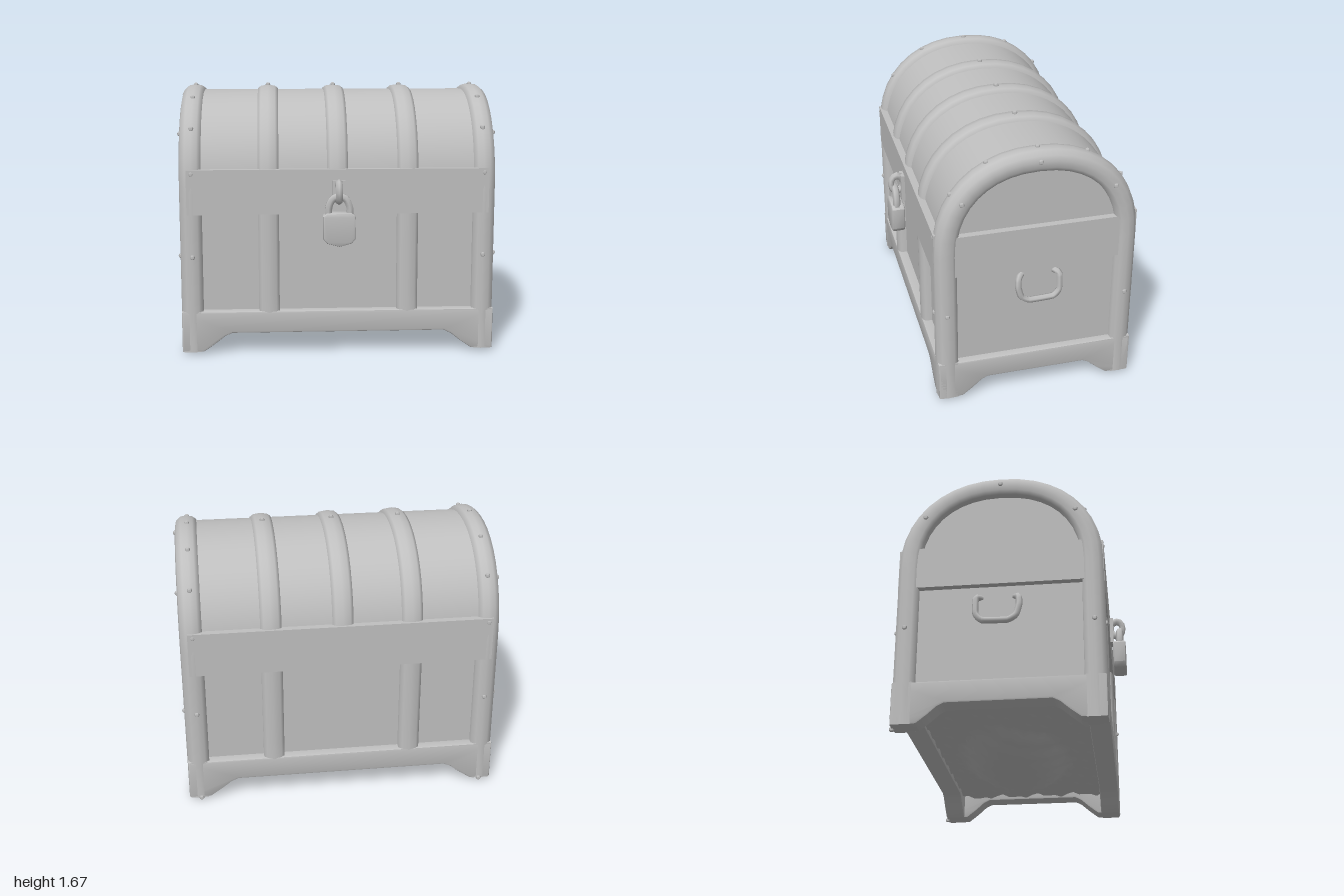
import * as THREE from 'three';
import { toCreasedNormals } from 'three/addons/utils/BufferGeometryUtils.js';

const CZ = -0.037, HALF = 0.6, SPRING = 1.02; // chest centre in z, half depth, height where the arch starts

export function createModel() {
  const chest = new THREE.Group();
  const grey = new THREE.MeshStandardMaterial({ color: 0xbfbfbf });
  grey.name = 'plain grey';

  function add(name, geometry, x = 0, y = 0, z = 0, crease = 0.7) {
    const mesh = new THREE.Mesh(toCreasedNormals(geometry, crease), grey);
    mesh.name = name;
    mesh.position.set(x, y, z);
    chest.add(mesh);
  }
  const box = (name, w, h, d, x, y, z) => add(name, new THREE.BoxGeometry(w, h, d), x, y, z);
  const polygon = (points) => new THREE.Shape(points.map(([x, y]) => new THREE.Vector2(x, y)));
  const extrude = (shape, depth, bevel = 0) => new THREE.ExtrudeGeometry(shape, {
    depth: depth - 2 * bevel, bevelEnabled: bevel > 0, bevelSize: bevel, bevelThickness: bevel,
    bevelOffset: -bevel, bevelSegments: 2,
  }).translate(0, 0, bevel);

  // Point on the slightly squared lid arch, with its outward normal
  function archPoint(a) {
    const c = Math.cos(a), s = Math.sin(a), k = 2 / 2.2;
    const u = Math.sign(c) * Math.abs(c) ** k, v = Math.abs(s) ** k;
    const nz = Math.sign(u) * Math.abs(u) ** 1.2, ny = v ** 1.2, len = Math.hypot(nz, ny);
    return { z: HALF * u, y: SPRING + HALF * v, nz: nz / len, ny: ny / len };
  }

  // Path up the front, over the arch and down the back
  function hoop(bottom) {
    const path = [];
    const rises = 5, arcs = 20;
    for (let i = 0; i < rises; i++) {
      path.push({ z: HALF, y: bottom + (SPRING - bottom) * i / rises, nz: 1, ny: 0 });
    }
    for (let i = 0; i <= arcs; i++) path.push(archPoint(Math.PI * i / arcs));
    for (let i = rises - 1; i >= 0; i--) path.push({ ...path[i], z: -HALF, nz: -1 });
    return path;
  }

  // Sweep a section of [x, outward offset] points along a hoop
  function sweep(path, section) {
    const positions = [], index = [], n = section.length;
    path.forEach((p, i) => {
      section.forEach(([x, o], j) => {
        positions.push(x, p.y + p.ny * o, CZ + p.z + p.nz * o);
        if (i < path.length - 1 && j < n - 1) {
          const a = i * n + j, b = a + 1, c = a + n, d = c + 1;
          index.push(a, b, c, b, d, c);
        }
      });
    });
    const g = new THREE.BufferGeometry();
    g.setAttribute('position', new THREE.Float32BufferAttribute(positions, 3));
    g.setIndex(index);
    g.computeVertexNormals();
    return g;
  }

  function rivet(p, x, offset) {
    add('rivet', new THREE.IcosahedronGeometry(0.016, 1),
      x, p.y + p.ny * offset, CZ + p.z + p.nz * offset, 1.2);
  }

  // Recessed body and vaulted lid
  box('bodyPanels', 1.87, 0.9, 1.12, 0, 0.61, CZ);
  const vault = [[-0.595, 0.95], [0.595, 0.95]];
  for (let i = 0; i <= 24; i++) {
    const p = archPoint(Math.PI * i / 24);
    vault.push([p.z - p.nz * 0.008, p.y - p.ny * 0.008]);
  }
  add('lidVault', extrude(polygon(vault), 1.87).rotateY(Math.PI / 2), -0.935, 0, CZ);

  // Rounded corner frames that run up the posts and over the lid ends
  const frame = [[0.85, -0.06], [0.85, 0], [0.875, 0.018], [0.91, 0.026], [0.95, 0.02], [0.98, -0.005],
    [0.988, -0.04], [0.985, -0.08], [0.97, -0.105], [0.925, -0.11]];
  for (const s of [1, -1]) {
    const section = s > 0 ? frame : frame.map(([x, o]) => [-x, o]).reverse();
    const path = hoop(0);
    add('cornerFrame', sweep(path, section), 0, 0, 0, 1);
    path.forEach((p, i) => {
      if (i % 3 === 0 && i > 0) rivet(p, s * 0.91, 0.022);
      if (i % 6 === 3) rivet(p, s * 0.984, -0.04);
    });
  }

  // Straps over the lid; the middle one stops at the centre rail
  for (const x of [-0.435, -0.005, 0.435]) {
    const path = hoop(x < -0.1 || x > 0.1 ? 0.2 : 0.95), w = 0.065;
    const section = [[-w, -0.07], [-w, 0], [-w * 0.7, 0.015], [0, 0.022],
      [w * 0.7, 0.015], [w, 0], [w, -0.07]];
    add('strap', sweep(path, section.map(([dx, o]) => [x + dx, o])), 0, 0, 0, 1);
    rivet(path[15], x, 0.022);
  }

  // Centre rails round the four sides, flush with the straps
  for (const s of [1, -1]) {
    box('centreRail', 1.88, 0.28, 0.09, 0, 1.02, CZ + s * 0.579);
    box('endCentreRail', 0.06, 0.27, 1.1, s * 0.947, 1.015, CZ);
  }

  // Base skirts with corner feet
  function skirt(half, top, foot, arch) {
    const side = [[half, 0], [half, top], [-half, top], [-half, 0]];
    const arc = [[-foot, 0], [-(foot * 0.6 + arch * 0.4), 0.05], [-(foot * 0.25 + arch * 0.75), 0.1], [-arch, 0.12]];
    const mirrored = arc.map(([x, y]) => [-x, y]).reverse();
    return polygon([...side, ...arc, ...mirrored]);
  }
  for (const s of [1, -1]) {
    const long = extrude(skirt(0.985, 0.26, 0.85, 0.67), 0.13, 0.012);
    add('baseSkirt', long, 0, 0, s > 0 ? CZ + 0.492 : CZ - 0.622);
    const short = extrude(skirt(0.62, 0.26, 0.47, 0.31), 0.13, 0.012).rotateY(Math.PI / 2);
    add('endSkirt', short, s > 0 ? 0.855 : -0.985, 0, CZ);
  }

  // Sagging underside with a rough border
  const floor = new THREE.PlaneGeometry(1.8, 1.1, 40, 26).rotateX(Math.PI / 2);
  const fp = floor.attributes.position;
  for (let i = 0; i < fp.count; i++) {
    const x = fp.getX(i), z = fp.getZ(i);
    const d = Math.hypot((x - 0.08) / 0.6, (z + 0.02) / 0.34);
    const lump = 0.02 * Math.sin(x * 31 + z * 13) * Math.sin(z * 37 - x * 7) * Math.min(1, d * d);
    const tilt = 1 + 0.12 * (x - 0.08) - 0.2 * z;
    fp.setY(i, 0.145 + lump - 0.125 * tilt * Math.max(0, 1 - d ** 2.4));
  }
  add('underside', floor, 0, 0, CZ, 1);

  // Bail handles on both ends
  for (const s of [1, -1]) {
    const points = [[0.925, 0.81, 0.05], [0.955, 0.8, 0.075], [0.965, 0.74, 0.08], [0.965, 0.67, 0.06],
      [0.965, 0.64, 0.01], [0.965, 0.645, -0.14], [0.965, 0.69, -0.18], [0.955, 0.8, -0.18], [0.925, 0.81, -0.15]]
      .map(([x, y, z]) => new THREE.Vector3(s * x, y, z));
    const curve = new THREE.CatmullRomCurve3(points, false, 'catmullrom', 0.2);
    add('handle', new THREE.TubeGeometry(curve, 36, 0.02, 6), 0, 0, 0, 1.2);
  }

  // Hasp, staple ring, shackle and padlock
  box('hasp', 0.08, 0.18, 0.03, 0, 1.0, 0.595);
  add('staple', new THREE.TorusGeometry(0.04, 0.02, 6, 12).scale(1, 1.35, 1.2).rotateY(Math.PI / 2),
    0, 1.025, 0.632, 1.2);
  const shackle = new THREE.CatmullRomCurve3([[-0.065, 0.86], [-0.065, 0.93], [-0.04, 0.985], [0, 1.0],
    [0.04, 0.985], [0.065, 0.93], [0.065, 0.86]].map(([x, y]) => new THREE.Vector3(x, y, 0.65)));
  add('shackle', new THREE.TubeGeometry(shackle, 20, 0.024, 6), 0, 0, 0, 1.2);
  const lock = polygon([[-0.1, 0.88], [-0.1, 0.74], [-0.075, 0.71], [0, 0.69], [0.075, 0.71], [0.1, 0.74],
    [0.1, 0.88], [0.075, 0.9], [-0.075, 0.9]]);
  add('padlock', extrude(lock, 0.085, 0.012), 0, 0, 0.603);

  return chest;
}
